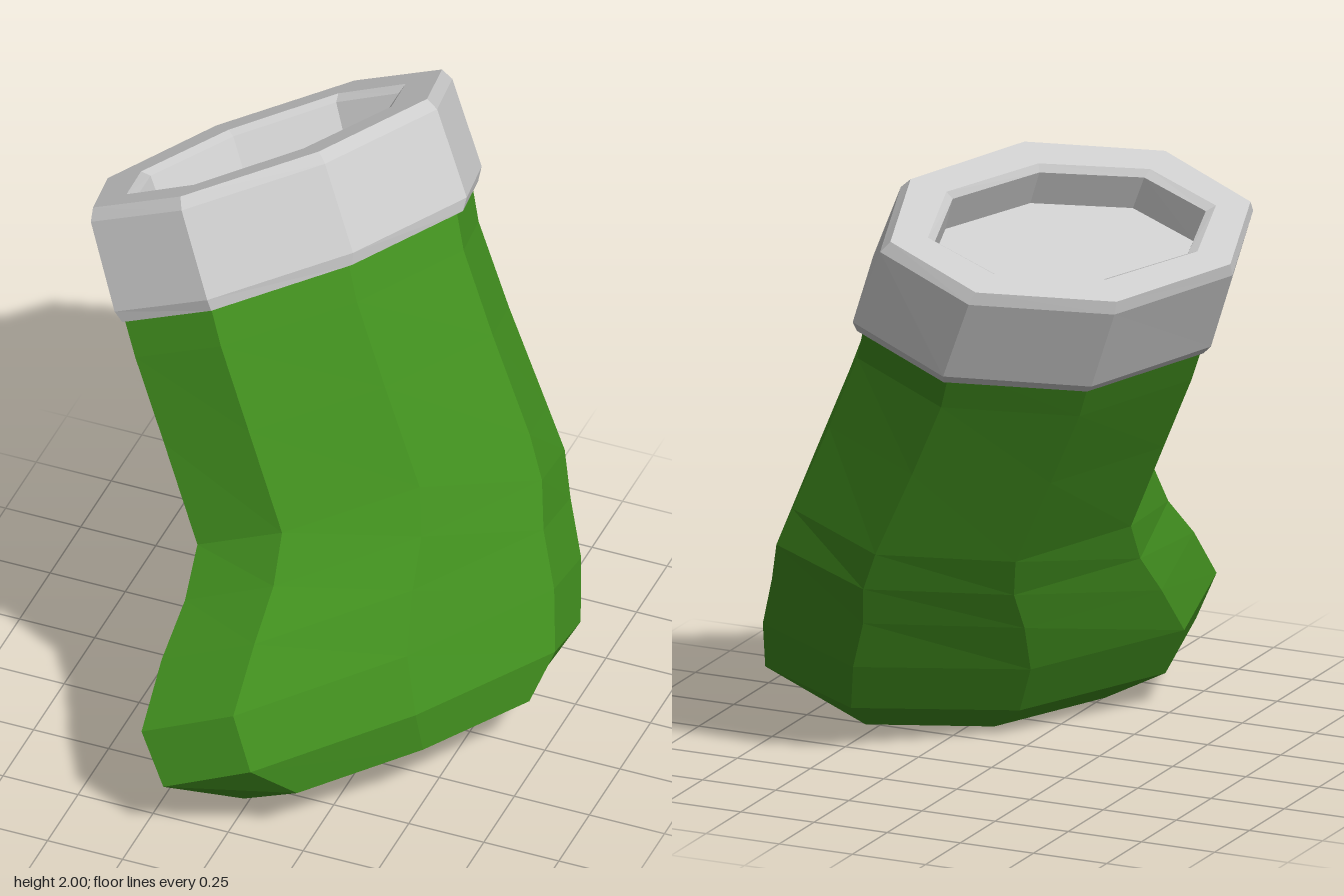
import * as THREE from 'three';

const SIDES = 8;

// Stack of eight-sided oval rings, listed so the surface faces outward going down.
// ring: [height, toe end, heel end, half width, corner factor]; zero-width rings close the ends
function loft(rings, color, name) {
  const point = ([v, toe, heel, half, corner = Math.SQRT1_2], j) => {
    const t = (j / SIDES) * Math.PI * 2;
    const cu = j % 2 ? Math.sign(Math.cos(t)) * corner : Math.cos(t);
    return [(toe + heel) / 2 + (cu * (heel - toe)) / 2, v, Math.sin(t) * half];
  };
  const pos = [];
  for (let i = 0; i < rings.length - 1; i++) {
    const a = rings[i], b = rings[i + 1];
    for (let j = 0; j < SIDES; j++) {
      if (a[3] > 0) pos.push(...point(a, j), ...point(a, j + 1), ...point(b, j));
      if (b[3] > 0) pos.push(...point(a, j + 1), ...point(b, j + 1), ...point(b, j));
    }
  }
  const geo = new THREE.BufferGeometry();
  geo.setAttribute('position', new THREE.Float32BufferAttribute(pos, 3));
  geo.computeVertexNormals();
  const mesh = new THREE.Mesh(geo, new THREE.MeshStandardMaterial({ color, flatShading: true }));
  mesh.name = name;
  return mesh;
}

export function createModel() {
  const model = new THREE.Group();
  model.name = 'stocking';

  // Green leg and foot, from inside the cuff down to the sole
  const sock = loft([
    [0.06, -0.62, 0.63, 0.36],
    [-0.12, -0.62, 0.61, 0.355],
    [-0.41, -0.605, 0.63, 0.345],
    [-0.75, -0.59, 0.665, 0.335],
    [-0.90, -0.68, 0.68, 0.33],
    [-1.05, -0.81, 0.655, 0.33],
    [-1.24, -0.94, 0.635, 0.325, 0.73],
    [-1.43, -0.92, 0.575, 0.31, 0.73],
    [-1.56, -0.67, 0.37, 0.24, 0.8],
    [-1.56, -0.15, -0.15, 0],
  ], 0x42901f, 'sock');

  // Pale cuff: sunken floor, inner wall, rim, bulging outer band, underside
  const cuff = loft([
    [0.23, 0, 0, 0],
    [0.23, -0.46, 0.46, 0.24],
    [0.355, -0.47, 0.47, 0.245],
    [0.375, -0.5, 0.5, 0.265],
    [0.375, -0.62, 0.63, 0.365],
    [0.335, -0.64, 0.655, 0.38],
    [0.04, -0.645, 0.67, 0.39],
    [0.0, -0.63, 0.645, 0.37],
    [0.0, -0.58, 0.59, 0.33],
  ], 0xcccccc, 'cuff');

  // Lean the stocking: toe to heel, leg upward, and side directions
  const up = new THREE.Vector3(-0.388, 0.887, -0.254).normalize();
  const side = new THREE.Vector3(0.698, 0.449, 0.555).normalize();
  const heel = new THREE.Vector3().crossVectors(up, side).normalize();
  side.crossVectors(heel, up);
  const lean = new THREE.Matrix4().makeBasis(heel, up, side).setPosition(-0.175, 1.495, -0.24);
  for (const part of [sock, cuff]) {
    part.geometry.applyMatrix4(lean);
    part.geometry.computeVertexNormals();
    model.add(part);
  }

  // Rest on the ground, centred
  const box = new THREE.Box3().setFromObject(model);
  const mid = box.getCenter(new THREE.Vector3());
  for (const part of model.children) part.geometry.translate(-mid.x, -box.min.y, -mid.z);
  return model;
}
